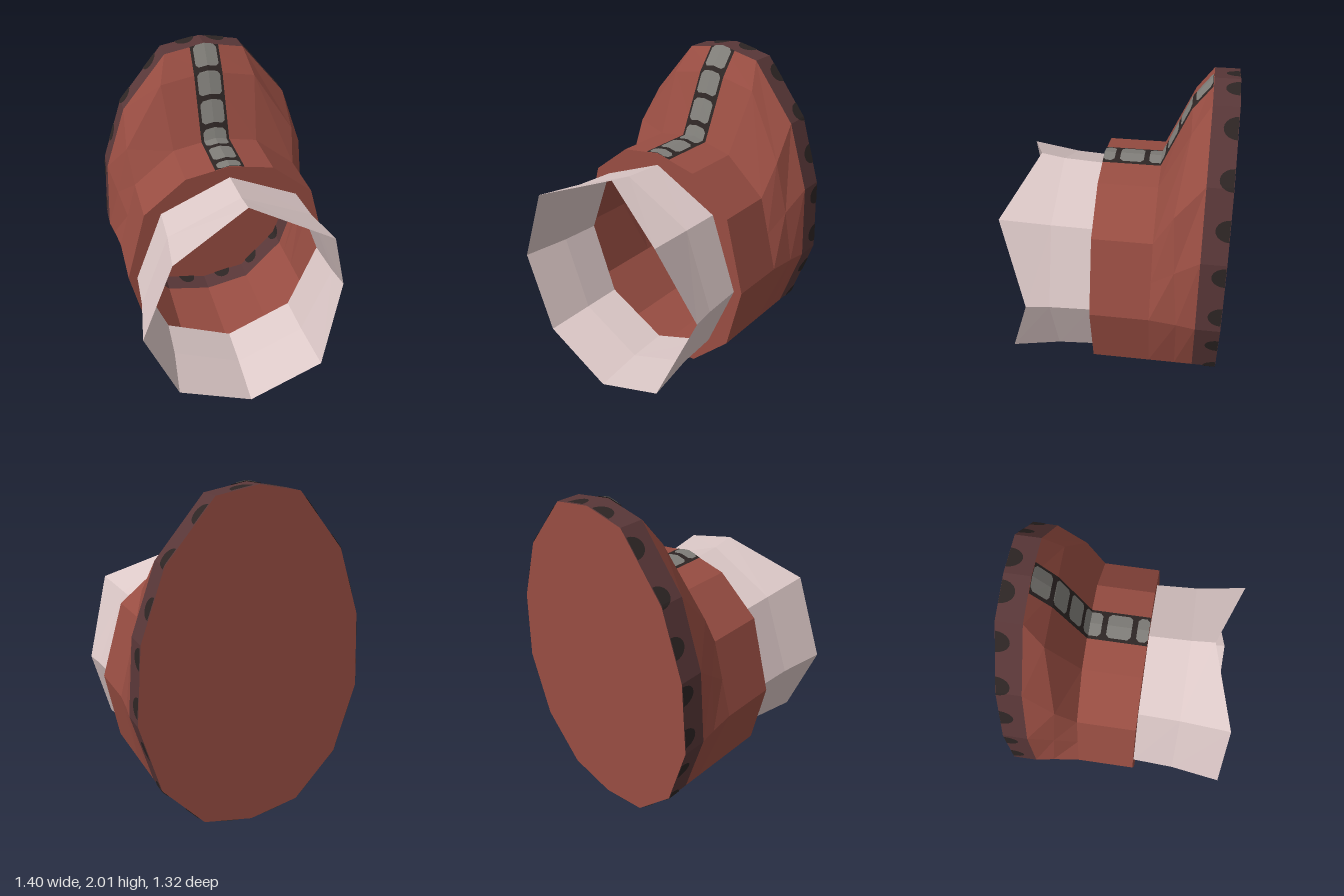
import * as THREE from 'three';

const mat = (name, color) => new THREE.MeshStandardMaterial({ name, color, flatShading: true, side: THREE.DoubleSide });
const V = (x, y, z) => new THREE.Vector3(x, y, z);

// Completes a right-half outline (top to bottom) into a closed, clockwise ring
function ring(half, z) {
  const right = half.map(([x, y, pz]) => V(x, y, pz ?? z));
  const left = right.slice(1, -1).reverse().map(p => V(-p.x, p.y, p.z));
  return [...right, ...left];
}

// Skins a row of cross-sections, front to back
function loft(rows, closed = true) {
  const pos = [];
  for (let r = 0; r < rows.length - 1; r++) {
    const a = rows[r], b = rows[r + 1], n = a.length;
    for (let i = 0; i < (closed ? n : n - 1); i++) {
      const j = (i + 1) % n;
      for (const p of [a[i], a[j], b[i], a[j], b[j], b[i]]) pos.push(p.x, p.y, p.z);
    }
  }
  const g = new THREE.BufferGeometry();
  g.setAttribute('position', new THREE.Float32BufferAttribute(pos, 3));
  g.computeVertexNormals();
  return g;
}

export function createModel() {
  const group = new THREE.Group();
  const red = mat('brick red', 0x984d42);
  const pink = mat('pale pink', 0xdcc8c7);
  const maroon = mat('dark maroon', 0x593738);
  const dark = mat('near black', 0x2d2524);
  const grey = mat('warm grey', 0x7f7d78);
  const add = (name, geo, m) => {
    const mesh = new THREE.Mesh(geo, m);
    mesh.name = name;
    group.add(mesh);
  };

  const Z0 = 0.11, Z1 = -0.24, Z2 = -0.51, Z3 = -0.655;
  const foot = [[0.57, 0.335], [0.31, 0.06], [0, 0]];
  const collar = [[0, 1.48], [0.27, 1.43], [0.53, 1.22], [0.595, 0.99], [0.66, 0.76], ...foot];
  const shoulder = [[0, 1.86], [0.3, 1.8, -0.41], [0.55, 1.42, -0.35], [0.63, 1.1, -0.37], [0.68, 0.76], ...foot];
  const oval = [[0, 2], [0.25, 1.955], [0.53, 1.62], [0.67, 1.22], [0.7, 0.76], ...foot];

  // Body shell flaring up to the oval rim
  const bodyRows = [ring(collar, Z0), ring(collar, Z1), ring(shoulder, -0.4), ring(oval, Z2)];
  add('body', loft(bodyRows), red);
  const rim = ring(oval, Z3);
  add('rim', loft([bodyRows[3], rim]), maroon);
  add('backPlate', new THREE.ShapeGeometry(new THREE.Shape(rim)).translate(0, 0, Z3), red);

  // Octagonal flared tube, with the top and left corners cut back
  const octagon = (rx, ry, z, cut) => Array.from({ length: 8 }, (_, i) => {
    const a = i * Math.PI / 4, c = cut && (i === 0 || i === 2);
    return V(Math.sin(a) * (c ? 0.635 : rx), 0.75 + Math.cos(a) * (c ? 0.695 : ry), c ? 0.5 : z);
  });
  const tubeBase = octagon(0.605, 0.655, Z0);
  add('tube', loft([octagon(0.66, 0.717, 0.66, true), octagon(0.617, 0.67, 0.36), tubeBase]), pink);

  // Front face of the body around the tube
  const face = new THREE.Shape(bodyRows[0]);
  face.holes.push(new THREE.Path(tubeBase));
  add('frontFace', new THREE.ShapeGeometry(face).translate(0, 0, Z0), red);

  // Spots around the rim, half ovals resting on its back edge
  const lengths = rim.map((p, i) => p.distanceTo(rim[(i + 1) % rim.length]));
  const total = lengths.reduce((a, b) => a + b, 0);
  const along = s => {
    s = (s + total) % total;
    let i = 0;
    while (i < rim.length - 1 && s > lengths[i]) s -= lengths[i++];
    return rim[i].clone().lerp(rim[(i + 1) % rim.length], s / lengths[i]);
  };
  const spot = (s, scale) => {
    const front = [], back = [];
    for (let k = 0; k <= 10; k++) {
      const a = Math.PI * k / 10;
      const p = along(s - Math.cos(a) * 0.062);
      p.set(p.x * scale, 0.98 + (p.y - 0.98) * scale, Z3 + 0.002);
      back.push(p);
      front.push(V(p.x, p.y, Z3 + 0.002 + Math.sin(a) * 0.078));
    }
    return loft([front, back], false);
  };
  for (let k = 0; k < 10; k++) {
    for (const side of [1, -1]) {
      const s = side * (0.1 + k * 0.274);
      add('rimSpotOuter', spot(s, 1.005), dark);
      add('rimSpotInner', spot(s, 0.993), dark);
    }
  }

  // Stripe along the top, following the ridge of the body
  const breaks = [0];
  for (let i = 1; i < 4; i++) breaks.push(breaks[i - 1] + bodyRows[i][0].distanceTo(bodyRows[i - 1][0]));
  const end = breaks[3];
  const ridge = (s, x, off) => {
    let i = 0;
    while (i < 2 && s > breaks[i + 1]) i++;
    const t = (s - breaks[i]) / (breaks[i + 1] - breaks[i]);
    const mid = bodyRows[i][0].clone().lerp(bodyRows[i + 1][0], t);
    const side = bodyRows[i][1].clone().lerp(bodyRows[i + 1][1], t);
    const p = mid.lerp(side, Math.abs(x) / side.x);
    return V(x, p.y + off, p.z + off * (s > breaks[1] - 0.001 ? 1 : 0));
  };
  const ribbon = (s0, s1, w, round, off) => {
    const cuts = [s0, s0 + round, s1 - round, s1, ...breaks.filter(b => b > s0 && b < s1)].sort((a, b) => a - b);
    return loft(cuts.map(s => {
      const half = w - Math.max(0, round - Math.min(s - s0, s1 - s));
      return [-half, 0, half].map(x => ridge(s, x, off));
    }), false);
  };
  add('stripe', ribbon(0, end, 0.09, 0, 0.003), dark);
  for (let k = 0; k < 6; k++) {
    const s = -0.075 + 0.175 * k;
    add('stripePanel', ribbon(Math.max(s, 0), Math.min(s + 0.143, end), 0.073, 0.018, 0.006), grey);
  }

  return group;
}
